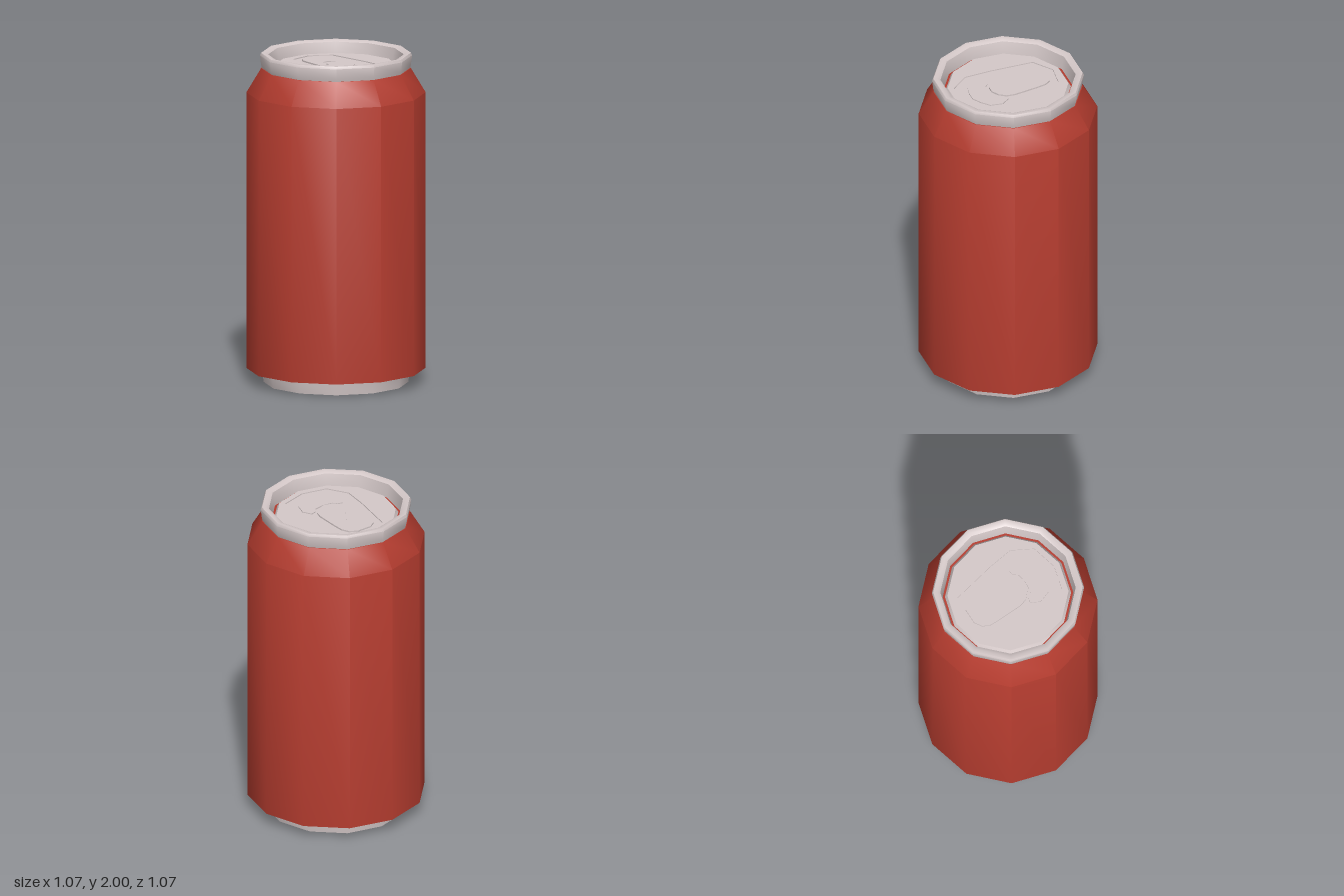
import * as THREE from 'three';
import { toCreasedNormals } from 'three/addons/utils/BufferGeometryUtils.js';

const SIDES = 12;
const red = new THREE.MeshStandardMaterial({ color: 0xb43c2f });
const metal = new THREE.MeshStandardMaterial({ color: 0xd4c8c8 });
const v2 = ([x, y]) => new THREE.Vector2(x, y);

// Twelve-sided turned part; profile points are [radius, height]
function turned(name, profile, material) {
  const geo = new THREE.LatheGeometry(profile.map(v2), SIDES);
  const mesh = new THREE.Mesh(toCreasedNormals(geo, 0.7), material);
  mesh.name = name;
  return mesh;
}

// Closed outline from its right half [x, z], mirrored to the left
function mirrored(half) {
  const left = half.filter(p => p[0] !== 0).reverse().map(([x, z]) => [-x, z]);
  return [...half, ...left].map(([x, z]) => new THREE.Vector2(x, -z));
}

// Flat plate lying in the xz plane between two heights
function plate(name, outline, holes, bottom, top) {
  const shape = new THREE.Shape(outline);
  holes.forEach(h => shape.holes.push(new THREE.Path(h)));
  const geo = new THREE.ExtrudeGeometry(shape, { depth: top - bottom, bevelEnabled: false });
  geo.rotateX(-Math.PI / 2).translate(0, bottom, 0);
  const mesh = new THREE.Mesh(geo, metal);
  mesh.name = name;
  return mesh;
}

export function createModel() {
  const can = new THREE.Group();
  can.name = 'drinkCan';

  // Painted wall with its shoulder, turning in under the lid
  can.add(turned('body', [
    [0.535, 0.085], [0.535, 1.76], [0.447, 1.907], [0.3, 1.907],
  ], red));

  // Base: domed underside, standing ring and step out to the wall
  can.add(turned('base', [
    [0, 0.17], [0.15, 0.155], [0.28, 0.115], [0.365, 0.05], [0.385, 0.015],
    [0.405, 0], [0.432, 0], [0.442, 0.08], [0.535, 0.085],
  ], metal));

  // Rolled top rim
  can.add(turned('rim', [
    [0.44, 1.9], [0.447, 1.925], [0.455, 1.985], [0.447, 2], [0.425, 2],
    [0.405, 1.99], [0.395, 1.95], [0.39, 1.905],
  ], metal));

  // Lid: sloping edge, top ring and sunken panel
  const lid = new THREE.Group();
  lid.name = 'lid';
  const lidTop = 1.93;
  lid.add(turned('lidEdge', [[0.377, 1.907], [0.362, lidTop]], metal));

  const disc = Array.from({ length: SIDES }, (_, i) => {
    const a = i * Math.PI * 2 / SIDES;
    return new THREE.Vector2(0.362 * Math.cos(a), 0.362 * Math.sin(a));
  });
  const panel = mirrored([[0, -0.325], [0.137, -0.272], [0.2, 0], [0.225, 0.157], [0.157, 0.285], [0, 0.325]]);
  lid.add(plate('lidRing', disc, [panel], 1.91, lidTop));
  lid.add(plate('lidPanel', panel, [], 1.91, 1.924));

  // Pull tab with finger hole and rivet tongue slot
  const tab = mirrored([
    [0, -0.27], [0.05, -0.27], [0.095, -0.24], [0.114, -0.195], [0.114, -0.13],
    [0.105, 0.02], [0.09, 0.07], [0.05, 0.105], [0, 0.118],
  ]);
  const fingerHole = mirrored([
    [0, -0.245], [0.04, -0.242], [0.075, -0.215], [0.088, -0.18], [0.088, -0.135], [0.073, -0.11], [0, -0.11],
  ]);
  const tongueSlot = mirrored([
    [0, -0.1], [0.043, -0.082], [0.067, -0.037], [0.067, 0.01], [0.04, 0.022],
    [0.045, -0.035], [0, -0.06],
  ]);
  lid.add(plate('pullTab', tab, [fingerHole, tongueSlot], 1.92, 1.933));

  // Raised crescent around the drinking opening
  const crescent = mirrored([
    [0, 0.127], [0.065, 0.117], [0.085, 0.09], [0.12, 0.08], [0.147, 0.137], [0.12, 0.21], [0.06, 0.24], [0, 0.257],
  ]);
  const mouth = mirrored([
    [0, 0.15], [0.055, 0.14], [0.095, 0.105], [0.11, 0.105], [0.125, 0.137], [0.1, 0.2], [0.05, 0.223], [0, 0.23],
  ]);
  lid.add(plate('openingRidge', crescent, [mouth], 1.92, 1.93));
  can.add(lid);

  return can;
}
